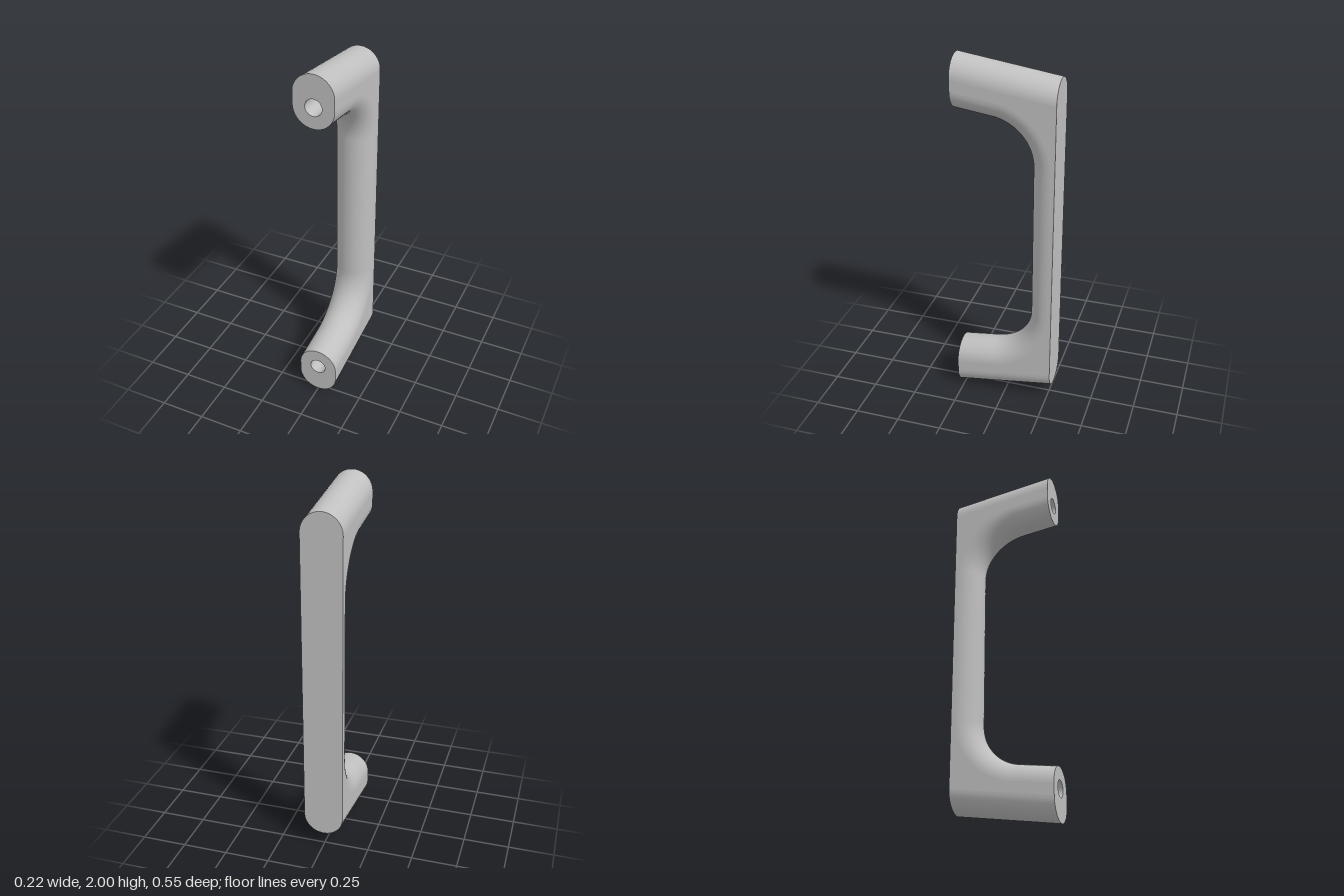
import * as THREE from 'three';

const R = 0.11;             // half width and rounding radius
const HALF = 0.275;         // half depth
const DROP = 0.08;          // fall of the slanted outer ends
const A = Math.atan(DROP / (2 * HALF));
const RY = R / Math.cos(A); // rounding radius cut by a vertical plane
const LEG = 0.285;          // height of a leg at its mounting face
const HOLE_R = 0.045, HOLE_Y = 0.172, HOLE_DEPTH = 0.25;
const SEG = 24;

// Surface through rows of points, smooth inside
function grid(rows) {
  const n = rows[0].length, index = [];
  for (let i = 0; i < rows.length - 1; i++) {
    for (let j = 0; j < n - 1; j++) {
      const a = i * n + j, b = a + n;
      index.push(a, b, a + 1, b, b + 1, a + 1);
    }
  }
  const g = new THREE.BufferGeometry();
  g.setAttribute('position', new THREE.Float32BufferAttribute(rows.flat(2), 3));
  g.setIndex(index);
  g.computeVertexNormals();
  return g;
}

// Inner edge of the side profile as [z, y], moved into the body by d
function innerEdge(d) {
  const fillet = 0.25, cz = -0.14 + fillet, cy = 1.44;
  const half = [[HALF, 2 - LEG + d / Math.cos(A)]];
  for (let i = 0; i <= 20; i++) {
    const t = A + (Math.PI / 2 - A) * i / 20;
    half.push([cz - (fillet + d) * Math.sin(t), cy + (fillet + d) * Math.cos(t)]);
  }
  return half.concat(half.map(([z, y]) => [z, 2 - y]).reverse());
}

// Upright slot outline with round ends
function slot(bottom, top) {
  const s = new THREE.Shape();
  s.absellipse(0, top - RY, R, RY, 0, Math.PI, false, 0);
  s.absellipse(0, bottom + RY, R, RY, Math.PI, 2 * Math.PI, false, 0);
  s.closePath();
  return s;
}

export function createModel() {
  const group = new THREE.Group();
  const metal = new THREE.MeshStandardMaterial({ color: 0xc0c0c0 });
  metal.name = 'satin grey metal';
  const add = (name, geometry) => {
    const mesh = new THREE.Mesh(geometry, metal);
    mesh.name = name;
    group.add(mesh);
  };
  const arc = Array.from({ length: SEG + 1 }, (_, j) => -Math.PI / 2 + Math.PI * j / SEG);

  // Rounded grip side, running from leg to leg
  const strips = arc.map(t => innerEdge(R * (1 - Math.cos(t)))
    .map(([z, y]) => [R * Math.sin(t), y, z]));
  add('innerGrip', grid(strips[0].map((_, i) => strips.map(s => s[i]))));

  // Rounded, slanted outer ends
  const endRow = (z, top) => arc.map(t => {
    const y = 2 - DROP * (HALF - z) / (2 * HALF) - RY * (1 - Math.cos(t));
    return [R * Math.sin(t), top ? y : 2 - y, z];
  });
  add('topEnd', grid([endRow(-HALF, true), endRow(HALF, true)]));
  add('bottomEnd', grid([endRow(HALF, false), endRow(-HALF, false)]));

  // Flat side walls
  const profile = innerEdge(R).concat([
    [HALF, RY], [-HALF, DROP + RY], [-HALF, 2 - DROP - RY], [HALF, 2 - RY],
  ]);
  for (const side of [1, -1]) {
    const shape = new THREE.Shape(profile.map(([z, y]) => new THREE.Vector2(-side * z, y)));
    const wall = new THREE.ShapeGeometry(shape);
    wall.rotateY(side * Math.PI / 2).translate(side * R, 0, 0);
    add(side > 0 ? 'leftWall' : 'rightWall', wall);
  }

  // Flat back face
  add('backFace', new THREE.ShapeGeometry(slot(DROP, 2 - DROP), SEG)
    .rotateY(Math.PI).translate(0, 0, -HALF));

  // Mounting faces with blind screw holes
  for (const [name, bottom, holeY] of [['top', 2 - LEG, 2 - HOLE_Y], ['bottom', 0, HOLE_Y]]) {
    const face = slot(bottom, bottom + LEG);
    const hole = new THREE.Path();
    hole.absarc(0, holeY, HOLE_R, 0, Math.PI * 2, true);
    face.holes.push(hole);
    add(name + 'MountingFace', new THREE.ShapeGeometry(face, SEG).translate(0, 0, HALF));

    const ring = z => Array.from({ length: 2 * SEG + 1 }, (_, j) => {
      const t = Math.PI * j / SEG;
      return [HOLE_R * Math.cos(t), holeY + HOLE_R * Math.sin(t), z];
    });
    add(name + 'HoleWall', grid([ring(HALF - HOLE_DEPTH), ring(HALF)]));
    add(name + 'HoleFloor', new THREE.CircleGeometry(HOLE_R, 2 * SEG)
      .translate(0, holeY, HALF - HOLE_DEPTH));
  }
  return group;
}
